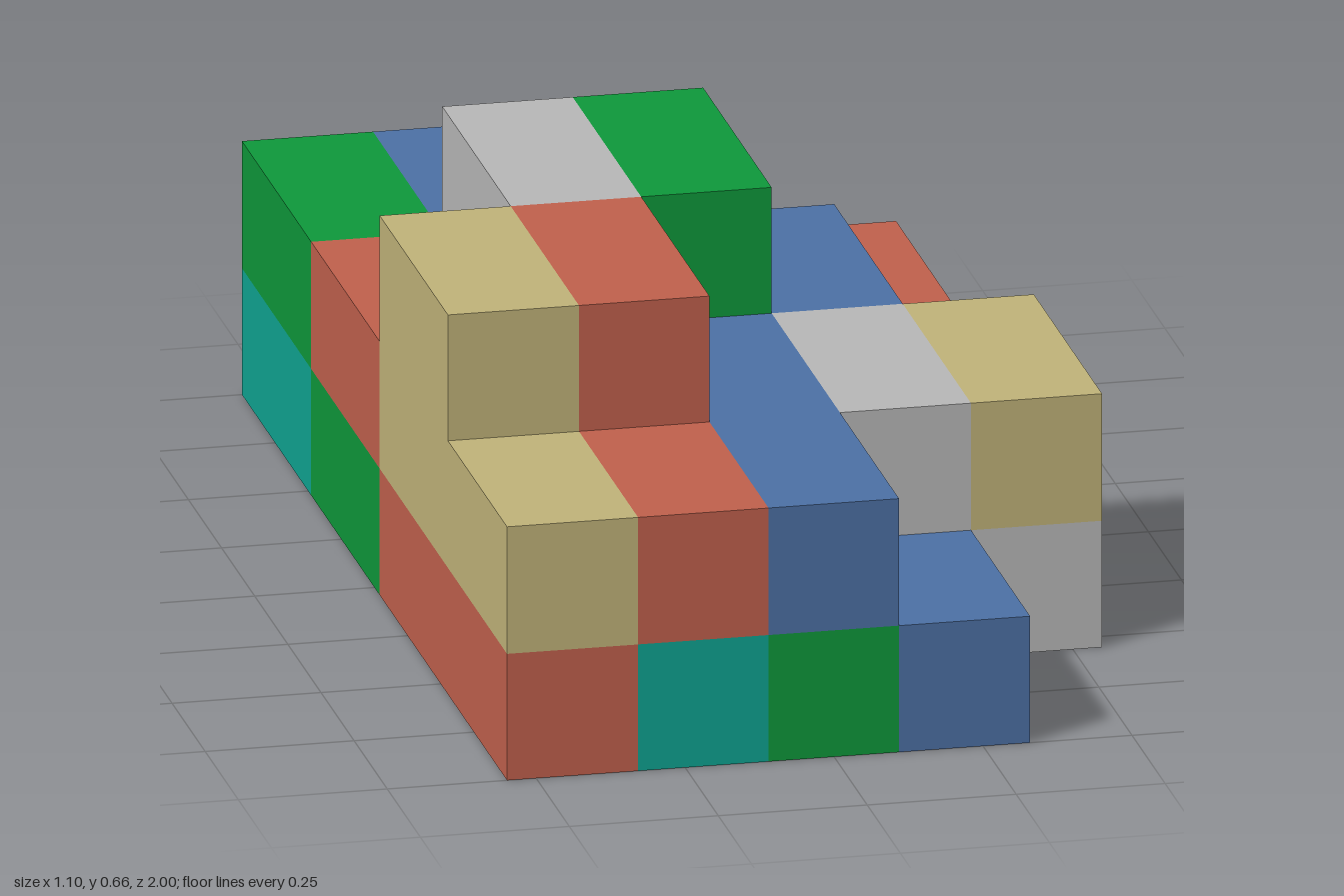
import * as THREE from 'three';

// Grid lines between the bricks
const XS = [-0.549, -0.329, -0.11, 0.109, 0.329, 0.549];
const YS = [0, 0.219, 0.439, 0.657];
const ZS = [-1, -0.478, 0.039, 0.554, 1];

const COLORS = {
  R: ['red', 0xc1614d],
  G: ['green', 0x0e993b],
  B: ['blue', 0x4d71a6],
  Y: ['tan', 0xc1b47a],
  A: ['grey', 0xb9b9b9],
  L: ['lightBlue', 0x6fa6ca],
  T: ['teal', 0x0fa593],
};

// Layers from the ground up, rows from back to front, columns from -x to +x.
// '#' is filled but fully enclosed, '.' is empty.
const LAYERS = [
  ['TARLR', 'G###G', 'R###A', 'RTGB.'],
  ['GBG..', 'R##B.', 'Y#BAY', 'YRB..'],
  ['.....', '.AG..', 'YR...', '.....'],
];

const cell = (x, y, z) => LAYERS[y]?.[z]?.[x] ?? '.';

// Neighbour directions in the face order of BoxGeometry
const SIDES = [[1, 0, 0], [-1, 0, 0], [0, 1, 0], [0, -1, 0], [0, 0, 1], [0, 0, -1]];

// A brick that keeps only its outer faces; the underside stays open
function brickGeometry(x, y, z) {
  const geometry = new THREE.BoxGeometry(XS[x + 1] - XS[x], YS[y + 1] - YS[y], ZS[z + 1] - ZS[z]);
  geometry.translate((XS[x] + XS[x + 1]) / 2, (YS[y] + YS[y + 1]) / 2, (ZS[z] + ZS[z + 1]) / 2);
  const all = Array.from(geometry.index.array);
  const kept = [];
  SIDES.forEach(([dx, dy, dz], i) => {
    if (dy >= 0 && cell(x + dx, y + dy, z + dz) === '.') kept.push(...all.slice(i * 6, i * 6 + 6));
  });
  geometry.clearGroups();
  geometry.setIndex(kept);
  return kept.length ? geometry : null;
}

export function createModel() {
  const model = new THREE.Group();
  model.name = 'brickStack';

  const materials = {};
  for (const [key, [name, color]] of Object.entries(COLORS)) {
    materials[key] = new THREE.MeshStandardMaterial({ color, side: THREE.DoubleSide });
    materials[key].name = name;
  }

  LAYERS.forEach((rows, y) => {
    const layer = new THREE.Group();
    layer.name = ['bottomLayer', 'middleLayer', 'topLayer'][y];
    rows.forEach((row, z) => [...row].forEach((key, x) => {
      if (!COLORS[key]) return;
      const geometry = brickGeometry(x, y, z);
      if (!geometry) return;
      const brick = new THREE.Mesh(geometry, materials[key]);
      brick.name = COLORS[key][0] + 'Brick';
      layer.add(brick);
    }));
    model.add(layer);
  });
  return model;
}
